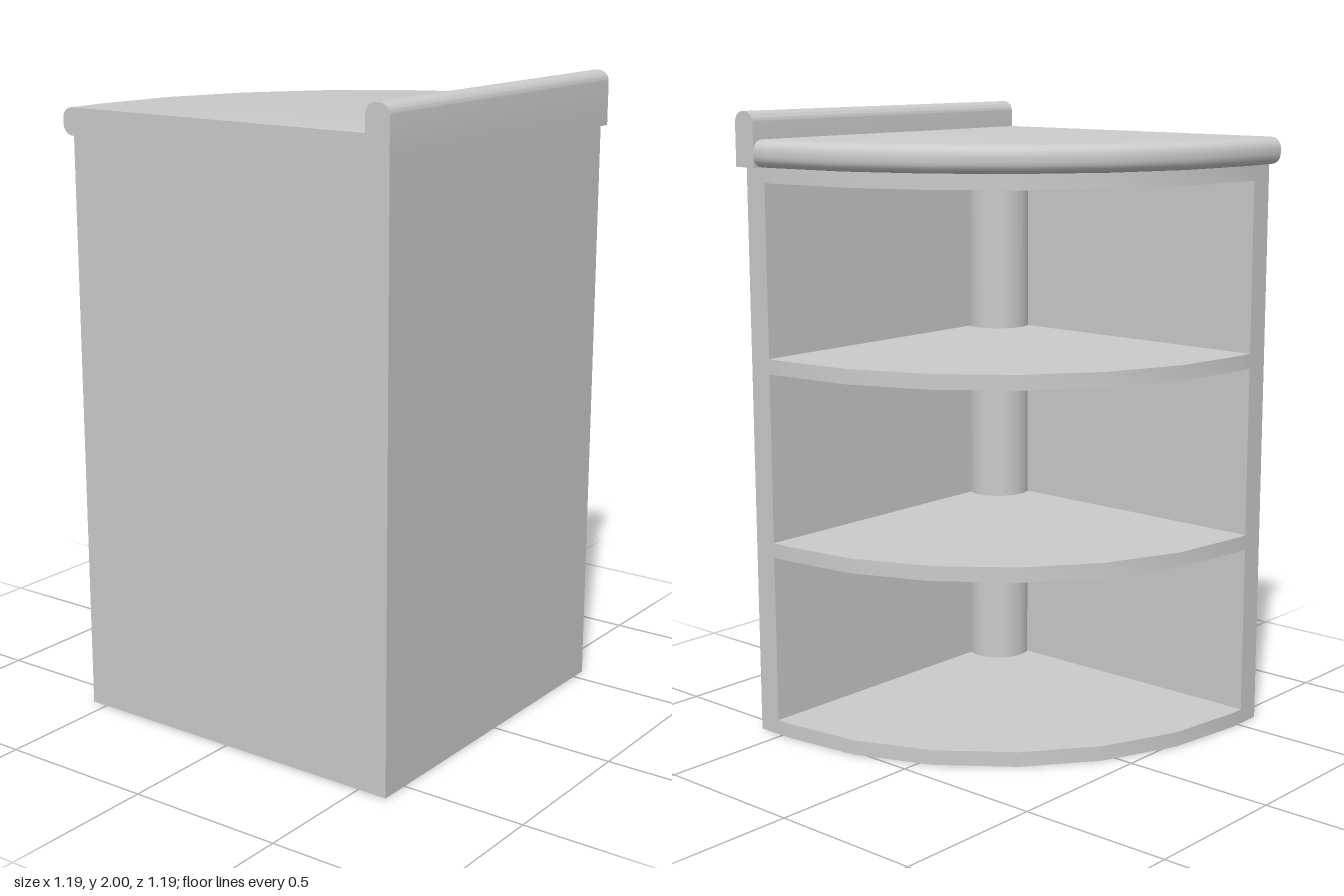
import * as THREE from 'three';
import { toCreasedNormals } from 'three/addons/utils/BufferGeometryUtils.js';

const EDGE = 0.597;   // outer planes of the two walls
const WALL = 0.08;    // wall thickness
const INNER = EDGE - WALL;
const C = 0.47;       // centre of the quarter-round outline
const R_BODY = 1.025, R_TOP = 1.067;
const H_BODY = 1.83, H_TOP = 1.915;
const SEGMENTS = 6;

// Quarter-round outline: straight end, arc, straight end, inner corner
function outline(radius, y, cx, cz) {
  const pts = [new THREE.Vector3(C - radius, y, cz)];
  for (let i = 0; i <= SEGMENTS; i++) {
    const a = (i / SEGMENTS) * Math.PI / 2;
    pts.push(new THREE.Vector3(C - radius * Math.cos(a), y, C - radius * Math.sin(a)));
  }
  pts.push(new THREE.Vector3(cx, y, C - radius), new THREE.Vector3(cx, y, cz));
  return pts;
}

// Solid board stacked from outlines; profile is a list of [radius, y], bottom to top
function boardGeometry(profile, cx, cz) {
  const rings = profile.map(([r, y]) => outline(r, y, cx, cz));
  const n = rings[0].length, out = [];
  const tri = (...v) => v.forEach(p => out.push(p.x, p.y, p.z));
  for (let j = 0; j < rings.length - 1; j++) {
    for (let k = 0; k < n; k++) {
      const m = (k + 1) % n;
      const a = rings[j][k], b = rings[j][m], c = rings[j + 1][m], d = rings[j + 1][k];
      tri(a, c, b);
      tri(a, d, c);
    }
  }
  const bottom = rings[0], top = rings[rings.length - 1];
  for (let k = 0; k < n - 2; k++) {
    tri(bottom[n - 1], bottom[k], bottom[k + 1]);
    tri(top[n - 1], top[k + 1], top[k]);
  }
  const g = new THREE.BufferGeometry();
  g.setAttribute('position', new THREE.Float32BufferAttribute(out, 3));
  return toCreasedNormals(g, 0.7);
}

export function createModel() {
  const group = new THREE.Group();
  const material = new THREE.MeshStandardMaterial({ color: 0xcccccc });
  const add = (name, geometry, x = 0, y = 0, z = 0) => {
    const mesh = new THREE.Mesh(geometry, material);
    mesh.name = name;
    mesh.position.set(x, y, z);
    group.add(mesh);
  };

  // Two walls meeting at the corner
  const front = C - R_BODY, length = EDGE - front, mid = (EDGE + front) / 2;
  add('sideWall', new THREE.BoxGeometry(WALL, H_BODY, length), EDGE - WALL / 2, H_BODY / 2, mid);
  add('rearWall', new THREE.BoxGeometry(length - WALL, H_BODY, WALL),
    mid - WALL / 2, H_BODY / 2, EDGE - WALL / 2);

  // Base, two shelves and the board under the worktop
  const thickness = 0.048, spacing = (H_BODY - thickness) / 3;
  const names = ['base', 'lowerShelf', 'upperShelf', 'topBoard'];
  names.forEach((name, i) => {
    const y = i * spacing;
    add(name, boardGeometry([[R_BODY, y], [R_BODY, y + thickness]], INNER + 0.003, INNER + 0.003));
  });

  // Round post in the corner
  add('cornerPost', new THREE.CylinderGeometry(0.107, 0.107, H_BODY - 0.02, 24), C, H_BODY / 2, C);

  // Worktop with a rounded rim
  const r = 0.035, rim = [];
  for (let i = 0; i <= 5; i++) {
    const a = (i / 5) * Math.PI / 2;
    rim.push([R_TOP - r + r * Math.sin(a), H_BODY + r - r * Math.cos(a)]);
  }
  for (let i = 0; i <= 5; i++) {
    const a = (i / 5) * Math.PI / 2;
    rim.push([R_TOP - r + r * Math.cos(a), H_TOP - r + r * Math.sin(a)]);
  }
  add('worktop', boardGeometry(rim, INNER + 0.003, EDGE));

  // Upstand along the side wall, rounded on top
  const s = new THREE.Shape();
  s.moveTo(INNER, H_BODY);
  s.lineTo(EDGE, H_BODY);
  s.lineTo(EDGE, 2 - r);
  s.absarc(EDGE - r, 2 - r, r, 0, Math.PI / 2, false);
  s.absarc(INNER + r, 2 - r, r, Math.PI / 2, Math.PI, false);
  s.closePath();
  const upstand = new THREE.ExtrudeGeometry(s, { depth: 2 * EDGE, bevelEnabled: false, curveSegments: 6 });
  add('upstand', toCreasedNormals(upstand, 0.7), 0, 0, -EDGE);

  return group;
}
